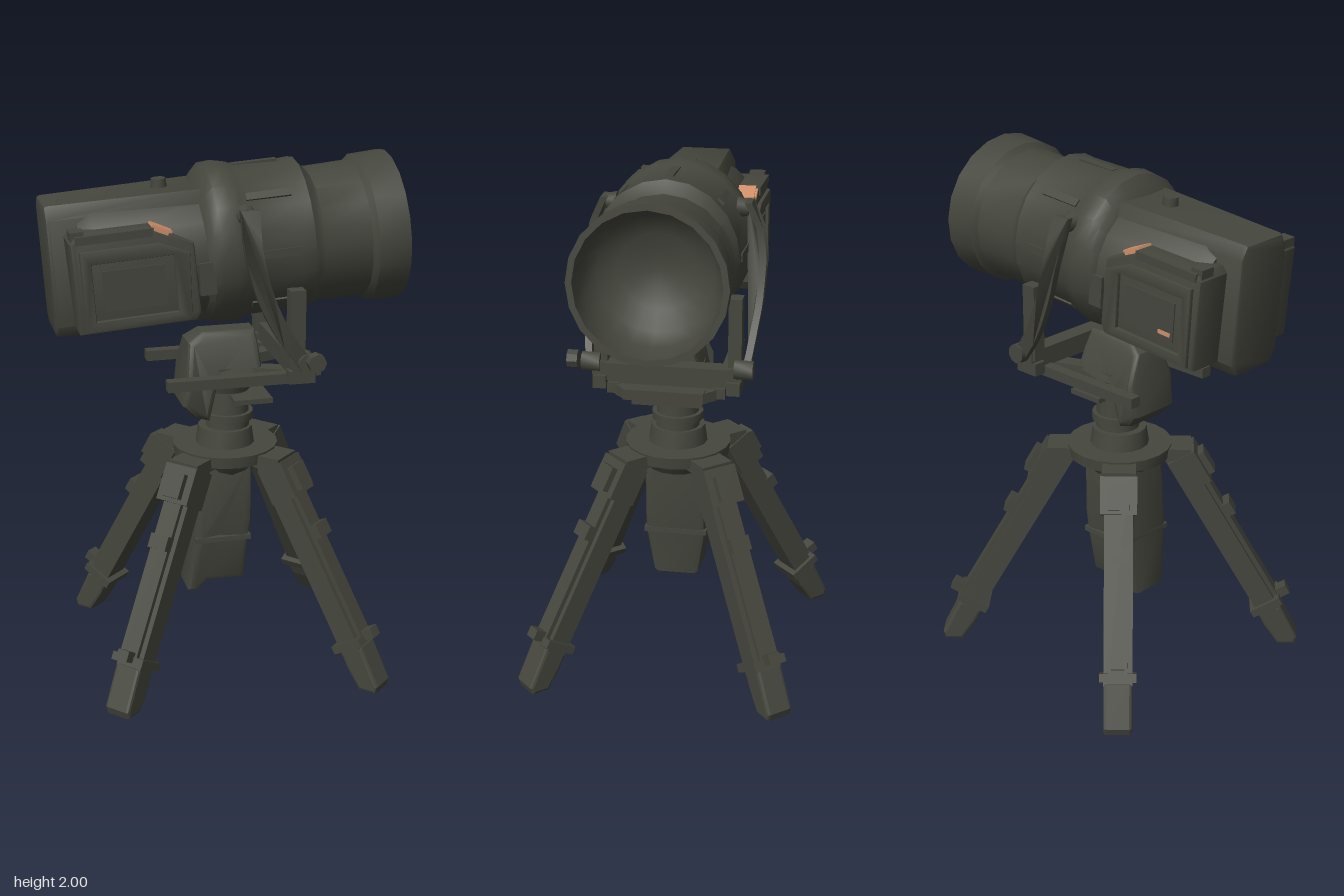
import * as THREE from 'three';
import { toCreasedNormals } from 'three/addons/utils/BufferGeometryUtils.js';

const paint = new THREE.MeshStandardMaterial({ color: 0x45463d });
paint.name = 'dark olive paint';
const copper = new THREE.MeshStandardMaterial({ color: 0xcf8f69 });
copper.name = 'copper';

function add(parent, name, geo, x = 0, y = 0, z = 0, mat = paint) {
  const m = new THREE.Mesh(geo, mat);
  m.name = name;
  m.position.set(x, y, z);
  parent.add(m);
  return m;
}
const box = (w, h, d) => new THREE.BoxGeometry(w, h, d);
const cyl = (r1, r2, h, n = 16) => toCreasedNormals(new THREE.CylinderGeometry(r1, r2, h, n), 0.7);
const vecs = (pts) => pts.map((p) => new THREE.Vector2(...p));

// Extruded outline, centred on z, with rounded edges that keep the outline size
function prism(pts, depth, bevel = 0, hole = null) {
  const s = new THREE.Shape(vecs(pts));
  if (hole) s.holes.push(new THREE.Path(vecs(hole)));
  const g = new THREE.ExtrudeGeometry(s, {
    depth: depth - 2 * bevel, bevelEnabled: bevel > 0, bevelThickness: bevel,
    bevelSize: bevel, bevelOffset: -bevel, bevelSegments: 2,
  });
  g.translate(0, 0, -(depth - 2 * bevel) / 2);
  return g;
}
// Move every vertex by a rule, then refresh the normals
function warp(g, rule) {
  const p = g.attributes.position, v = new THREE.Vector3();
  for (let i = 0; i < p.count; i++) {
    rule(v.fromBufferAttribute(p, i));
    p.setXYZ(i, v.x, v.y, v.z);
  }
  return toCreasedNormals(g, 0.6);
}
// Straight-line lookup in a short list of [key, value] pairs
function lookup(table, k) {
  for (let i = 1; i < table.length; i++) {
    const [k0, v0] = table[i - 1], [k1, v1] = table[i];
    if (k <= k1) return THREE.MathUtils.lerp(v0, v1, THREE.MathUtils.clamp((k - k0) / (k1 - k0), 0, 1));
  }
  return table[table.length - 1][1];
}
const rect = (x0, y0, x1, y1) => [[x0, y0], [x1, y0], [x1, y1], [x0, y1]];

// Beam between two points in the xy plane
function beam(parent, name, a, b, w, d, lift = 0) {
  const dx = b[0] - a[0], dy = b[1] - a[1], len = Math.hypot(dx, dy);
  const m = add(parent, name, box(w, len, d), (a[0] + b[0]) / 2 - (lift * dy) / len, (a[1] + b[1]) / 2 + (lift * dx) / len);
  m.rotation.z = Math.atan2(dy, dx) - Math.PI / 2;
}

function makeHead() {
  const head = new THREE.Group();
  head.name = 'lampHead';
  head.position.set(0, 1.67, 0);
  head.rotation.z = 0.07;

  // Barrel, collars, rim and the concave reflector; the drum is narrower than tall and sits slightly high
  const profile = [[0, -0.55], [0.22, -0.55], [0.245, -0.5], [0.25, -0.1], [0.28, -0.08], [0.302, -0.05],
    [0.306, 0.0], [0.298, 0.04], [0.288, 0.06], [0.284, 0.25], [0.288, 0.3], [0.268, 0.32], [0.255, 0.34],
    [0.26, 0.52], [0.28, 0.54], [0.285, 0.66], [0.262, 0.66], [0.25, 0.54], [0.21, 0.48], [0.14, 0.44],
    [0.06, 0.42], [0, 0.41]];
  const barrel = new THREE.LatheGeometry(vecs(profile), 20);
  barrel.rotateZ(-Math.PI / 2);
  const drumWidth = [[-0.1, 1], [-0.05, 0.92], [0.3, 0.94], [0.34, 1]];
  const drumLift = [[-0.1, 0], [-0.05, 0.016], [0.3, 0.012], [0.34, 0]];
  add(head, 'barrel', warp(barrel, (v) => {
    v.z *= lookup(drumWidth, v.x);
    v.y += lookup(drumLift, v.x);
  }));

  // Low ribs on the drum
  for (let i = 0; i < 8; i++) {
    const a = (i / 8) * Math.PI * 2;
    const rib = add(head, 'drumRib', box(0.17, 0.02, 0.03), 0.15, Math.cos(a) * 0.28 + 0.014, Math.sin(a) * 0.26);
    rib.rotation.x = a;
  }

  // Tall rear housing with chamfered edges, flaring where it meets the drum
  const rear = prism([[-0.09, -0.245], [0.09, -0.245], [0.12, -0.2], [0.12, 0.2], [0.095, 0.25], [-0.095, 0.25], [-0.12, 0.2], [-0.12, -0.2]], 0.61, 0.015);
  rear.rotateY(Math.PI / 2);
  add(head, 'rearHousing', warp(rear, (v) => { if (v.x > 0) v.z *= 1.25; }), -0.355, 0, 0);
  add(head, 'topKnob', cyl(0.028, 0.032, 0.05, 12), -0.215, 0.257, 0);

  // Equipment box, frame, panel and copper catch on each side
  for (const s of [1, -1]) {
    const outline = [[-0.59, -0.2], [-0.16, -0.2], [-0.14, -0.17], [-0.15, 0.09], [-0.3, 0.165], [-0.58, 0.165], [-0.6, 0.14]];
    add(head, 'sideBox', toCreasedNormals(prism(outline, 0.15, 0.015), 0.6), 0, 0, s * 0.185);
    const frame = prism([[-0.57, -0.19], [-0.18, -0.19], [-0.17, 0.06], [-0.28, 0.11], [-0.57, 0.11]], 0.03, 0.008,
      rect(-0.53, -0.15, -0.23, 0.06));
    add(head, 'sideFrame', toCreasedNormals(frame, 0.6), 0, 0, s * 0.26);
    add(head, 'sidePanel', box(0.23, 0.15, 0.01), -0.38, -0.045, s * 0.26);
    add(head, 'topRail', box(0.28, 0.03, 0.03), -0.44, 0.15, s * 0.25);
    add(head, 'railEnd', box(0.05, 0.04, 0.06), -0.57, 0.16, s * 0.22);
    const tab = add(head, 'copperCatch', box(0.078, 0.009, 0.066), -0.262, 0.153, s * 0.216, copper);
    const flap = add(head, 'copperFlap', box(0.055, 0.014, 0.008), -0.266, 0.147, s * 0.253, copper);
    tab.rotation.z = flap.rotation.z = -0.43;
    add(head, 'hinge', box(0.06, 0.12, 0.05), -0.11, -0.05, s * 0.235);
    // Pivot boss that carries the yoke
    const boss = add(head, 'pivotBoss', cyl(0.03, 0.04, 0.04, 12), 0.05, 0.16, s * 0.245);
    boss.rotation.x = (s * Math.PI) / 2;
  }
  add(head, 'copperLabel', box(0.055, 0.015, 0.006), -0.455, -0.095, -0.265, copper);
  return head;
}

function makeYoke() {
  const yoke = new THREE.Group();
  yoke.name = 'yoke';
  // Curved flat straps, bowed outward around the drum
  const path = new THREE.CatmullRomCurve3([[0.045, 1.86], [0.045, 1.73], [0.09, 1.55], [0.17, 1.39], [0.265, 1.26]]
    .map(([x, y]) => new THREE.Vector3(x, y, 0)));
  const left = [], right = [];
  for (let i = 0; i <= 16; i++) {
    const p = path.getPoint(i / 16), t = path.getTangent(i / 16), w = 0.036 - 0.01 * (i / 16);
    left.push([p.x + t.y * w, p.y - t.x * w]);
    right.unshift([p.x - t.y * w, p.y + t.x * w]);
  }
  const bow = [[1.25, 0.285], [1.32, 0.298], [1.5, 0.322], [1.66, 0.328], [1.77, 0.31], [1.86, 0.268]];
  for (const s of [1, -1]) {
    const strap = warp(prism([...left, ...right], 0.026), (v) => { v.z += s * lookup(bow, v.y); });
    add(yoke, 'strap', strap);
    add(yoke, 'upright', box(0.06, 0.3, 0.05), 0.23, 1.4, s * 0.25);
    const bolt = add(yoke, 'strapBolt', cyl(0.038, 0.038, 0.07, 10), 0.26, 1.28, s * 0.285);
    bolt.rotation.x = Math.PI / 2;
    add(yoke, 'lowerBracket', box(0.1, 0.05, 0.05), 0.25, 1.215, s * 0.25);
  }
  const knob = add(yoke, 'clampKnob', cyl(0.035, 0.035, 0.04, 8), 0.28, 1.295, 0.35);
  knob.rotation.x = Math.PI / 2;

  // Cross bar with chamfered ends
  const bar = prism([[-0.2, 1.21], [0.2, 1.21], [0.28, 1.24], [0.28, 1.3], [0.23, 1.285], [-0.23, 1.285], [-0.28, 1.3], [-0.28, 1.24]], 0.07);
  bar.rotateY(-Math.PI / 2);
  add(yoke, 'crossBar', bar, 0.25, 0, 0);

  // Long side rails, front rail and the open web that joins them to the column
  for (const s of [1, -1]) add(yoke, 'sideRail', box(0.55, 0.04, 0.045), 0.025, 1.195, s * 0.198);
  add(yoke, 'frontRail', box(0.05, 0.04, 0.3), 0.335, 1.195, 0);
  const web = prism([[-0.03, -0.1], [0.08, -0.1], [0.3, -0.19], [0.34, -0.15], [0.34, 0.15], [0.3, 0.19], [0.08, 0.1], [-0.03, 0.1]], 0.04, 0,
    [[0.15, -0.06], [0.28, -0.11], [0.28, 0.11], [0.15, 0.06]]);
  web.rotateX(-Math.PI / 2);
  add(yoke, 'baseWeb', web, 0, 1.19, 0);
  return yoke;
}

function makeLeg(angle) {
  const leg = new THREE.Group();
  leg.name = 'leg';
  leg.position.x = 0.02;
  leg.rotation.y = angle;
  const top = [0.215, 0.85], low = [0.61, 0.15];
  const at = (t) => [top[0] + (low[0] - top[0]) * t, top[1] + (low[1] - top[1]) * t];
  add(leg, 'hubLug', box(0.16, 0.05, 0.13), 0.2, 0.855, 0);
  beam(leg, 'legTube', top, low, 0.085, 0.11);
  beam(leg, 'legRail', at(0.05), at(0.95), 0.025, 0.07, 0.048);
  beam(leg, 'topClamp', at(0.02), at(0.2), 0.115, 0.14, 0.02);
  beam(leg, 'clampLever', at(0.06), at(0.18), 0.035, 0.08, 0.085);
  beam(leg, 'midCatch', at(0.36), at(0.43), 0.04, 0.08, 0.068);
  beam(leg, 'ankleCollar', at(0.94), at(0.98), 0.13, 0.14);
  beam(leg, 'ankleCatch', at(0.92), at(0.97), 0.05, 0.05, 0.08);
  // Foot bent outward, with a small flat sole
  add(leg, 'foot', prism([[0.555, 0.15], [0.59, 0.08], [0.645, 0.0], [0.715, 0.0], [0.724, 0.03], [0.65, 0.18]], 0.11, 0.012));
  return leg;
}

function makeStand() {
  const stand = new THREE.Group();
  stand.name = 'tripodStand';
  // Hub and column
  add(stand, 'hubPlate', cyl(0.205, 0.2, 0.045, 20), 0.02, 0.865, 0);
  add(stand, 'hubUnderside', cyl(0.16, 0.12, 0.06, 16), 0.02, 0.815, 0);
  add(stand, 'hubCollar', cyl(0.105, 0.115, 0.07), 0.02, 0.92, 0);
  add(stand, 'column', cyl(0.08, 0.085, 0.2), 0.03, 1.04, 0);
  add(stand, 'columnHead', cyl(0.12, 0.1, 0.07), 0.02, 1.145, 0);
  add(stand, 'lockRing', cyl(0.1, 0.1, 0.03), 0.03, 1.0, 0);
  add(stand, 'lockLever', box(0.15, 0.02, 0.27), 0.095, 1.09, 0.02);

  // Control pod wrapped over the column, narrowing to the top
  const pod = prism([[-0.165, 1.07], [-0.12, 1.02], [-0.06, 1.0], [-0.035, 1.14], [0.12, 1.14], [0.14, 1.2], [0.135, 1.28], [0.125, 1.345],
    [-0.08, 1.345], [-0.135, 1.31], [-0.152, 1.2]], 0.24, 0.02);
  const podWidth = [[1.0, 0.75], [1.08, 0.95], [1.2, 0.95], [1.3, 0.58], [1.345, 0.4]];
  add(stand, 'controlPod', warp(pod, (v) => { v.z *= lookup(podWidth, v.y); }));

  // Battery pack hanging under the hub
  const pack = prism([[-0.145, 0.29], [-0.11, 0.285], [-0.07, 0.33], [0.078, 0.33], [0.088, 0.5], [0.102, 0.6], [0.102, 0.83],
    [-0.1, 0.85], [-0.115, 0.7], [-0.125, 0.52]], 0.24, 0.025);
  add(stand, 'hangingPack', warp(pack, (v) => { v.z *= 0.7 + 0.3 * THREE.MathUtils.clamp((v.y - 0.29) / 0.22, 0, 1); }));
  add(stand, 'packBand', box(0.22, 0.02, 0.246), -0.015, 0.52, 0);

  // Four splayed legs
  for (const a of [41.5, 133, 222, 314]) stand.add(makeLeg(THREE.MathUtils.degToRad(a)));
  return stand;
}

export function createModel() {
  const model = new THREE.Group();
  model.name = 'tripodSearchlight';
  model.add(makeHead(), makeYoke(), makeStand());
  return model;
}
